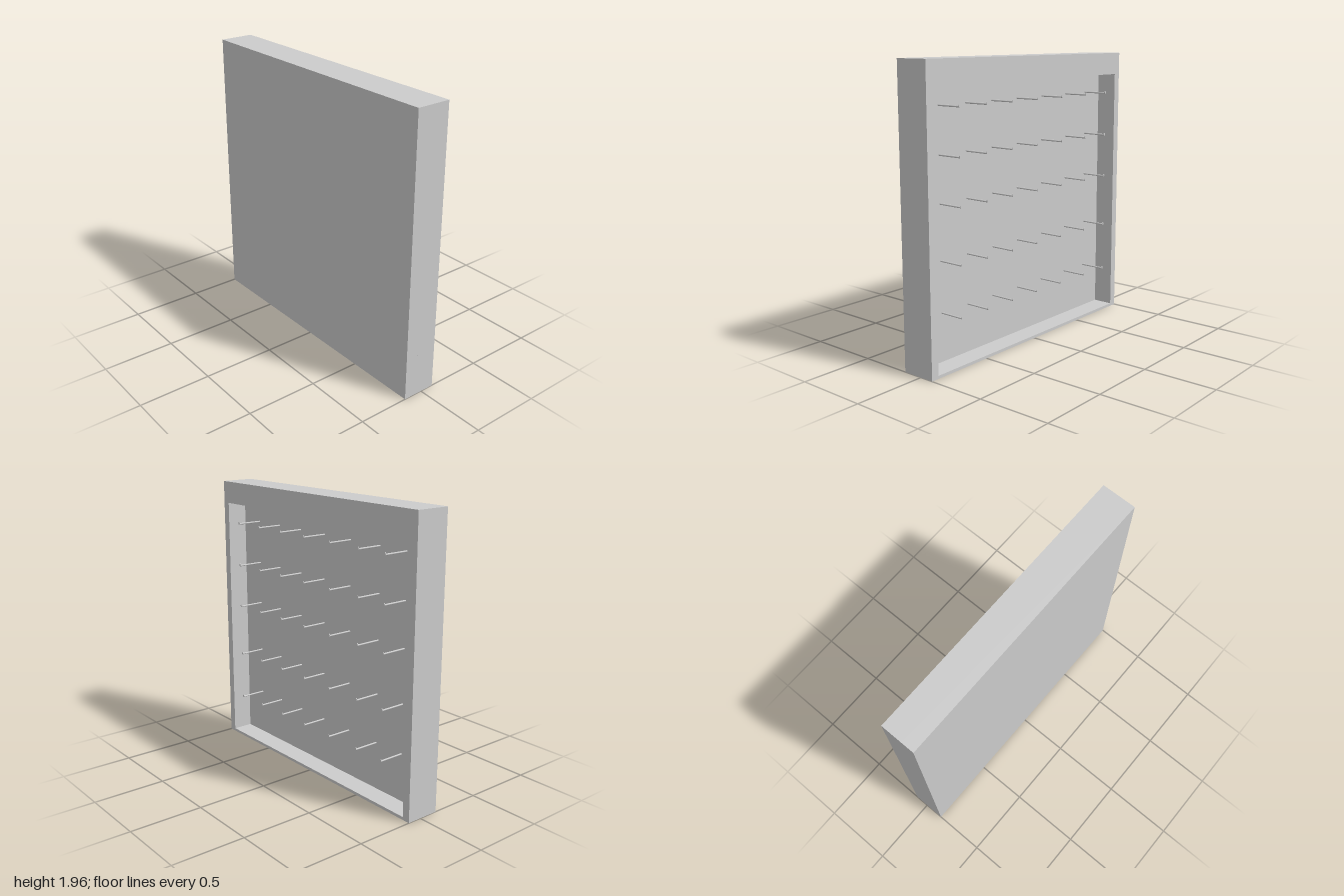
import * as THREE from 'three';

const material = new THREE.MeshStandardMaterial({ color: 0xcccccc });

function addMesh(parent, name, geometry, x, y, z) {
  const mesh = new THREE.Mesh(geometry, material);
  mesh.name = name;
  mesh.position.set(x, y, z);
  parent.add(mesh);
  return mesh;
}

// Box given by its lower and upper limits on each axis
function addBox(parent, name, [x0, x1], [y0, y1], [z0, z1]) {
  return addMesh(parent, name, new THREE.BoxGeometry(x1 - x0, y1 - y0, z1 - z0),
    (x0 + x1) / 2, (y0 + y1) / 2, (z0 + z1) / 2);
}

export function createModel() {
  const group = new THREE.Group();
  group.name = 'pegBoardCabinet';

  const back = -0.14, face = 0.1, floor = -0.045;
  const height = 1.955, bottom = 0.02, top = 1.8, side = 0.945;

  // Shallow case: solid back with a frame around the recess
  addBox(group, 'backPanel', [back, floor], [0, height], [-1, 1]);
  addBox(group, 'header', [floor, face], [top, height], [-1, 1]);
  addBox(group, 'sill', [floor, face], [0, bottom], [-1, 1]);
  addBox(group, 'leftSide', [floor, face], [bottom, top], [-1, -side]);
  addBox(group, 'rightSide', [floor, face], [bottom, top], [side, 1]);

  // Grid of pegs, each a thin rod with a small raised tip
  const tipEnd = 0.137;
  const rod = new THREE.CylinderGeometry(0.006, 0.006, tipEnd - floor, 8).rotateZ(Math.PI / 2);
  const tip = new THREE.CylinderGeometry(0.007, 0.007, 0.005, 8).rotateZ(Math.PI / 2).scale(1, 1.4, 1);
  for (const y of [1.673, 1.367, 1.06, 0.693, 0.352]) {
    for (const z of [0.76, 0.517, 0.27, 0.013, -0.255, -0.532, -0.77]) {
      const peg = new THREE.Group();
      peg.name = 'peg';
      peg.position.set(0, y, z);
      addMesh(peg, 'rod', rod, (floor + tipEnd) / 2, -0.003, 0);
      addMesh(peg, 'tip', tip, tipEnd - 0.0025, 0.002, 0);
      group.add(peg);
    }
  }
  return group;
}
